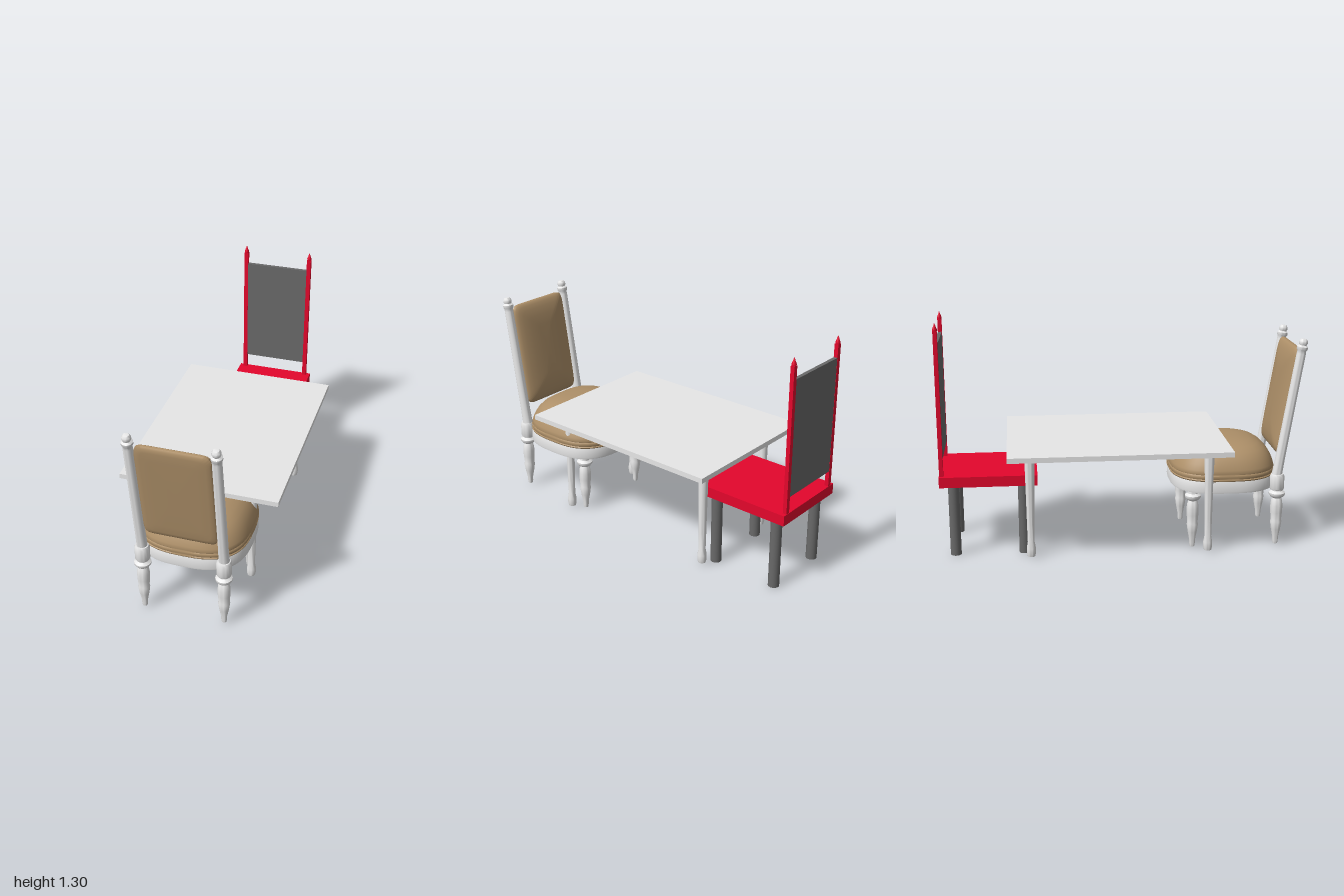
import * as THREE from 'three';
import { toCreasedNormals } from 'three/addons/utils/BufferGeometryUtils.js';

const mat = (name, color) => {
  const m = new THREE.MeshStandardMaterial({ color });
  m.name = name;
  return m;
};

// Closed loft of superellipse rings; each ring is [height, inset]
function loft(a, b, n, rings, segs = 64, crease = 0.6) {
  const pos = [], idx = [];
  const pw = v => Math.sign(v) * Math.abs(v) ** (2 / n);
  for (const [h, inset] of rings) {
    for (let j = 0; j < segs; j++) {
      const t = (j / segs) * Math.PI * 2;
      pos.push((a - inset) * pw(Math.cos(t)), h, (b - inset) * pw(Math.sin(t)));
    }
  }
  const last = rings.length - 1;
  const bottom = rings.length * segs, top = bottom + 1;
  pos.push(0, rings[0][0], 0, 0, rings[last][0], 0);
  for (let j = 0; j < segs; j++) {
    const k = (j + 1) % segs;
    for (let i = 0; i < last; i++) {
      const p = i * segs + j, q = i * segs + k;
      idx.push(p, p + segs, q, q, p + segs, q + segs);
    }
    idx.push(bottom, j, k, top, last * segs + k, last * segs + j);
  }
  const g = new THREE.BufferGeometry();
  g.setAttribute('position', new THREE.Float32BufferAttribute(pos, 3));
  g.setIndex(idx);
  g.computeVertexNormals();
  return toCreasedNormals(g, crease);
}

// Turned piece from [radius, y] points
const turned = pts =>
  toCreasedNormals(new THREE.LatheGeometry(pts.map(p => new THREE.Vector2(p[0], p[1])), 24), 0.7);

export function createModel() {
  const white = mat('paintedWhite', 0xe8e8e8);
  const tan = mat('tanUpholstery', 0xae9069);
  const red = mat('redPaint', 0xe4062c);
  const dark = mat('darkGrey', 0x696969);

  const root = new THREE.Group();
  const add = (parent, name, geo, material, x = 0, y = 0, z = 0) => {
    const m = new THREE.Mesh(geo, material);
    m.name = name;
    m.position.set(x, y, z);
    parent.add(m);
    return m;
  };
  const group = name => {
    const g = new THREE.Group();
    g.name = name;
    root.add(g);
    return g;
  };

  // Table
  const table = group('table');
  add(table, 'tableTop', new THREE.BoxGeometry(0.872, 0.028, 1.205), white, 0, 0.61, -0.027);
  const tableLeg = turned([[0, 0.013], [0.021, 0.013], [0.025, 0.03], [0.025, 0.06], [0.019, 0.095],
    [0.021, 0.2], [0.024, 0.4], [0.027, 0.56], [0.026, 0.585], [0.022, 0.598], [0, 0.598]]);
  for (const x of [-0.27, 0.27])
    for (const z of [0.47, -0.51]) add(table, 'tableLeg', tableLeg, white, x, 0, z);

  // Red chair, facing +z
  const plain = group('redChair');
  plain.position.x = 0.011;
  add(plain, 'redSeat', new THREE.BoxGeometry(0.46, 0.058, 0.533), red, 0, 0.431, -0.7335);
  const roundLeg = new THREE.CylinderGeometry(0.03, 0.03, 0.406, 24);
  const post = new THREE.BoxGeometry(0.024, 0.8, 0.022);
  const spike = turned([[0, 1.25], [0.011, 1.25], [0.013, 1.264], [0.007, 1.28], [0, 1.3]]);
  for (const s of [-1, 1]) {
    for (const z of [-0.545, -0.925]) add(plain, 'roundLeg', roundLeg, dark, s * 0.18, 0.203, z);
    add(plain, 'redPost', post, red, s * 0.195, 0.855, -0.987);
    add(plain, 'postSpike', spike, red, s * 0.195, 0, -0.987);
  }
  add(plain, 'backPanel', new THREE.BoxGeometry(0.37, 0.635, 0.02), dark, 0, 0.867, -0.987);

  // Upholstered chair, facing -z
  const chair = group('upholsteredChair');
  chair.position.x = 0.013;
  add(chair, 'seatFrame', loft(0.3, 0.298, 2.8,
    [[0.342, 0.002], [0.352, 0], [0.395, 0.002], [0.41, 0.006]]), white, 0, 0, 0.583);
  add(chair, 'seatCushion', loft(0.3, 0.298, 2.8,
    [[0.405, 0.012], [0.41, 0.002], [0.416, 0], [0.421, 0.004], [0.43, 0.001], [0.441, 0.001],
      [0.446, 0.005], [0.452, 0.003], [0.47, 0.008], [0.5, 0.02], [0.53, 0.038], [0.555, 0.062],
      [0.575, 0.095], [0.59, 0.14], [0.597, 0.2], [0.6, 0.25], [0.6, 0.29]], 64, 1), tan, 0, 0, 0.58);

  // Turned legs and the collars above them
  const leg = turned([[0, 0.013], [0.013, 0.013], [0.016, 0.03], [0.016, 0.05], [0.026, 0.1], [0.032, 0.145],
    [0.029, 0.155], [0.033, 0.2], [0.034, 0.24], [0.03, 0.27], [0.024, 0.285], [0.036, 0.293],
    [0.045, 0.305], [0.045, 0.316], [0.03, 0.328], [0.029, 0.345], [0, 0.345]]);
  const block = turned([[0, 0.335], [0.037, 0.335], [0.04, 0.342], [0.04, 0.412], [0.034, 0.425], [0, 0.425]]);
  const backPost = turned([[0, 0], [0.029, 0], [0.027, 0.1], [0.025, 0.7], [0.024, 0.715], [0.03, 0.724],
    [0.03, 0.738], [0.02, 0.747], [0.024, 0.757], [0.023, 0.769], [0.015, 0.78], [0, 0.783]]);
  const lean = 0.156;
  for (const s of [-1, 1]) {
    for (const z of [0.868, 0.392]) add(chair, 'turnedLeg', leg, white, s * 0.221, 0, z);
    add(chair, 'postBlock', block, white, s * 0.221, 0, 0.866);
    add(chair, 'backPost', backPost, white, s * 0.221, 0.412, 0.862).rotation.x = lean;
  }

  // Leaning padded back, fuller on the sitting side
  const pad = loft(0.196, 0.302, 13,
    [[-0.012, 0.08], [-0.011, 0.03], [-0.008, 0.01], [-0.001, 0], [0.01, 0], [0.018, 0.006],
      [0.026, 0.02], [0.034, 0.045], [0.042, 0.09], [0.045, 0.15]], 80, 1).rotateX(-Math.PI / 2);
  add(chair, 'paddedBack', pad, tan, 0, 0.828, 0.927).rotation.x = lean;

  return root;
}
